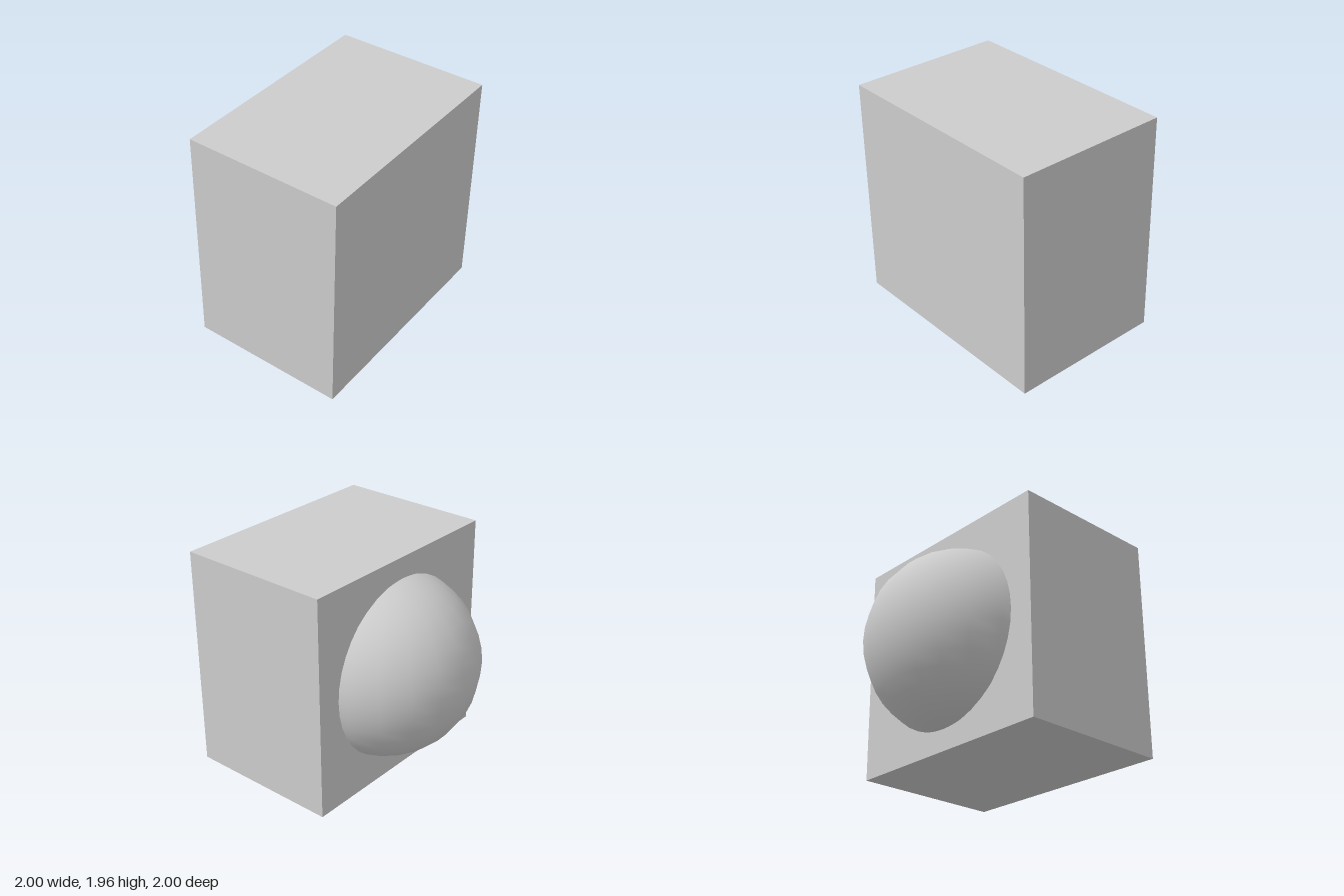
import * as THREE from 'three';

export function createModel() {
  const group = new THREE.Group();
  const material = new THREE.MeshStandardMaterial({ color: 0xcccccc });

  // Solid block with its back face at z = -0.36
  const block = new THREE.Mesh(new THREE.BoxGeometry(2, 1.955, 1.36), material);
  block.name = 'block';
  block.position.set(0, 0.9775, 0.32);

  // Ball sunk into the back of the block
  const ball = new THREE.Mesh(new THREE.SphereGeometry(0.81, 20, 20), material);
  ball.name = 'ball';
  ball.position.set(0, 0.9775, -0.19);

  group.add(block, ball);
  return group;
}
